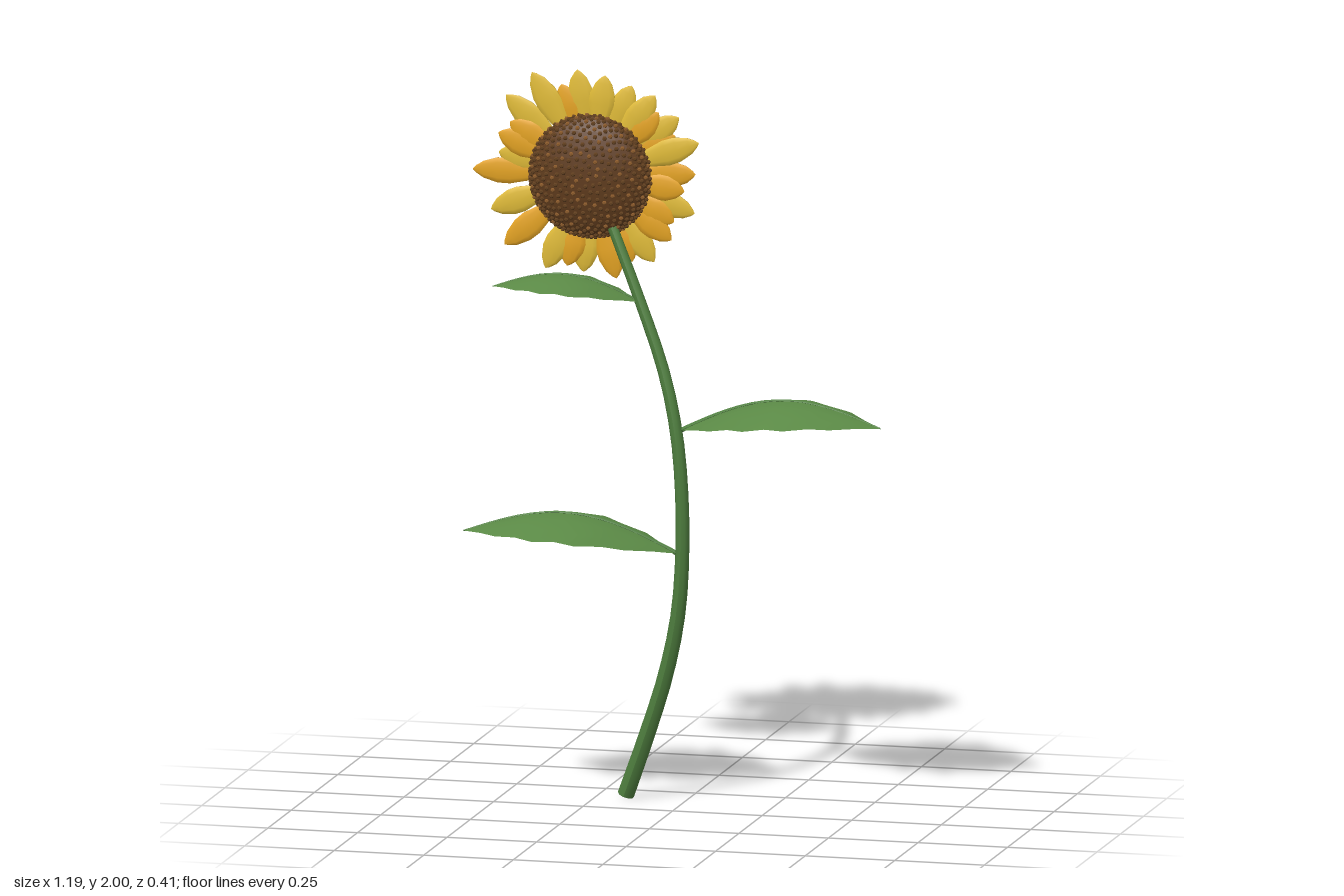
import * as THREE from 'three';
import { mergeGeometries } from 'three/addons/utils/BufferGeometryUtils.js';

const mat = (name, color, side = THREE.FrontSide) => {
  const m = new THREE.MeshStandardMaterial({ color, side });
  m.name = name;
  return m;
};
const V = (x, y, z) => new THREE.Vector3(x, y, z);

function add(parent, name, geometry, material) {
  const mesh = new THREE.Mesh(geometry, material);
  mesh.name = name;
  parent.add(mesh);
  return mesh;
}

// Tube whose radius runs from r0 to r1
function taperedTube(curve, segments, sides, r0, r1) {
  const geo = new THREE.TubeGeometry(curve, segments, 1, sides);
  const pos = geo.attributes.position;
  const v = new THREE.Vector3();
  for (let i = 0; i < pos.count; i++) {
    const t = Math.floor(i / (sides + 1)) / segments;
    const p = curve.getPointAt(t);
    v.fromBufferAttribute(pos, i).sub(p).multiplyScalar(r0 + (r1 - r0) * t).add(p);
    pos.setXYZ(i, v.x, v.y, v.z);
  }
  geo.computeVertexNormals();
  return geo;
}

// Height of the arched midrib and its sideways drift along the leaf, t = 0..1
const ribY = (t) => 0.05 * t + 0.08 * Math.sin(Math.PI * t);
const ribZ = (t) => 0.078 * t;
const LEAF_LENGTH = 0.58;

// Serrated blade, arched along its length and drooping to both edges
function leafBlade(dir) {
  const geo = new THREE.PlaneGeometry(1, 1, 10, 6);
  const pos = geo.attributes.position;
  for (let i = 0; i < pos.count; i++) {
    const t = pos.getX(i) + 0.5;
    const s = pos.getY(i) * 2;
    const tooth = Math.round(t * 10) % 2 ? 0.178 : 0.208;
    const half = tooth * Math.sin(Math.PI * t);
    const droop = 0.045 * Math.pow(Math.abs(s), 1.5) * Math.sin(Math.PI * t);
    pos.setXYZ(i, dir * LEAF_LENGTH * t, ribY(t) - droop, ribZ(t) - dir * s * half);
  }
  geo.computeVertexNormals();
  return geo;
}

function leaf(name, root, dir, scale, bladeMat, ribMat) {
  const g = new THREE.Group();
  g.name = name;
  add(g, 'leafBlade', leafBlade(dir), bladeMat);
  const path = [];
  for (let i = 0; i <= 10; i++) {
    const t = i / 10;
    path.push(V(dir * LEAF_LENGTH * t, ribY(t), ribZ(t)));
  }
  add(g, 'midrib', taperedTube(new THREE.CatmullRomCurve3(path), 16, 5, 0.007, 0.002), ribMat);
  g.position.copy(root);
  g.scale.setScalar(scale);
  return g;
}

// Flattened pointed petal along +x, from the heart to its tip
function petalGeometry(tip) {
  const base = 0.1;
  const profile = [[0, 0], [0.014, 0.12], [0.027, 0.35], [0.037, 0.55], [0.036, 0.7], [0.024, 0.87], [0.01, 0.96], [0, 1]]
    .map(([r, t]) => new THREE.Vector2(r, base + (tip - base) * t));
  return new THREE.LatheGeometry(profile, 10).scale(1, 1, 0.22).rotateZ(-Math.PI / 2);
}

export function createModel() {
  const model = new THREE.Group();
  model.name = 'sunflower';
  const stemGreen = mat('stem green', 0x4f7f3f);
  const leafGreen = mat('leaf green', 0x5b8a46, THREE.DoubleSide);
  const yellow = mat('petal yellow', 0xe0bb38);
  const amber = mat('petal amber', 0xe5a423);
  const brown = mat('heart brown', 0x5f3b1c);
  const seedDark = mat('seed brown', 0x62401f);
  const seedLight = mat('light seed brown', 0x8a5a2b);

  // Curved stem with closed ends
  const stemCurve = new THREE.CatmullRomCurve3([
    V(-0.168, 0.008, -0.145), V(-0.10, 0.185, -0.112), V(-0.04, 0.36, -0.083),
    V(0, 0.53, -0.058), V(0.016, 0.7, -0.042), V(0.016, 0.88, -0.034), V(0, 1.04, -0.037),
    V(-0.04, 1.2, -0.056), V(-0.115, 1.39, -0.083), V(-0.198, 1.575, -0.117),
  ]);
  const stem = new THREE.Group();
  stem.name = 'stem';
  model.add(stem);
  add(stem, 'stalk', taperedTube(stemCurve, 24, 10, 0.023, 0.014), stemGreen);
  for (const [t, r, sign] of [[0, 0.023, -1], [1, 0.014, 1]]) {
    const cap = add(stem, 'stalkEnd', new THREE.CircleGeometry(r, 10), stemGreen);
    cap.position.copy(stemCurve.getPointAt(t));
    cap.quaternion.setFromUnitVectors(V(0, 0, 1), stemCurve.getTangentAt(t).multiplyScalar(sign));
  }

  // Leaves
  model.add(leaf('lowerLeaf', V(0.005, 0.7, -0.042), -1, 1, leafGreen, stemGreen));
  model.add(leaf('middleLeaf', V(0.01, 1.04, -0.042), 1, 1, leafGreen, stemGreen));
  model.add(leaf('upperLeaf', V(-0.11, 1.38, -0.082), -1, 0.69, leafGreen, stemGreen));

  // Flower head
  const head = new THREE.Group();
  head.name = 'flowerHead';
  head.position.set(-0.265, 1.71, -0.137);
  model.add(head);
  const R = 0.168, D = 0.06;
  const heart = new THREE.SphereGeometry(R, 28, 18).scale(1, 1, D / R).toNonIndexed();
  heart.computeVertexNormals();
  add(head, 'heart', heart, brown);

  // Petals: tip angle in degrees, tip radius, 1 for amber
  const petals = [
    [180, 0.333, 1], [158, 0.28, 1], [139, 0.318, 0], [121, 0.322, 0], [98, 0.291, 0], [82, 0.28, 0],
    [66, 0.275, 0], [52, 0.29, 0], [35, 0.297, 0], [19, 0.318, 0], [3, 0.29, 1], [-7, 0.262, 1],
    [-18, 0.302, 0], [-37, 0.28, 1], [-53, 0.29, 0], [-76, 0.29, 1], [-95, 0.27, 0], [-116, 0.292, 0],
    [-140, 0.318, 1], [-159, 0.3, 0], [169, 0.265, 0], [149, 0.265, 1], [109, 0.26, 1],
    [44, 0.262, 1], [27, 0.262, 1], [-27, 0.26, 1], [-64, 0.26, 1], [-105, 0.262, 1],
  ];
  petals.forEach(([angle, tip, isAmber], i) => {
    const petal = add(head, 'petal', petalGeometry(tip), isAmber ? amber : yellow);
    petal.rotation.z = THREE.MathUtils.degToRad(angle);
    petal.position.z = -0.012 + (i % 2 ? 0.003 : -0.003);
  });

  // Seeds in a spiral over the front of the heart
  const seeds = [[], []];
  const count = 420;
  for (let i = 0; i < count; i++) {
    const u = Math.sin(Math.acos(1 - (i + 0.5) / count));
    const a = i * Math.PI * (3 - Math.sqrt(5));
    const seed = new THREE.IcosahedronGeometry(0.0068, 0);
    seed.translate(R * u * Math.cos(a), R * u * Math.sin(a), D * Math.sqrt(1 - u * u));
    seeds[i % 4 === 0 ? 1 : 0].push(seed);
  }
  add(head, 'darkSeeds', mergeGeometries(seeds[0]), seedDark);
  add(head, 'lightSeeds', mergeGeometries(seeds[1]), seedLight);
  return model;
}
